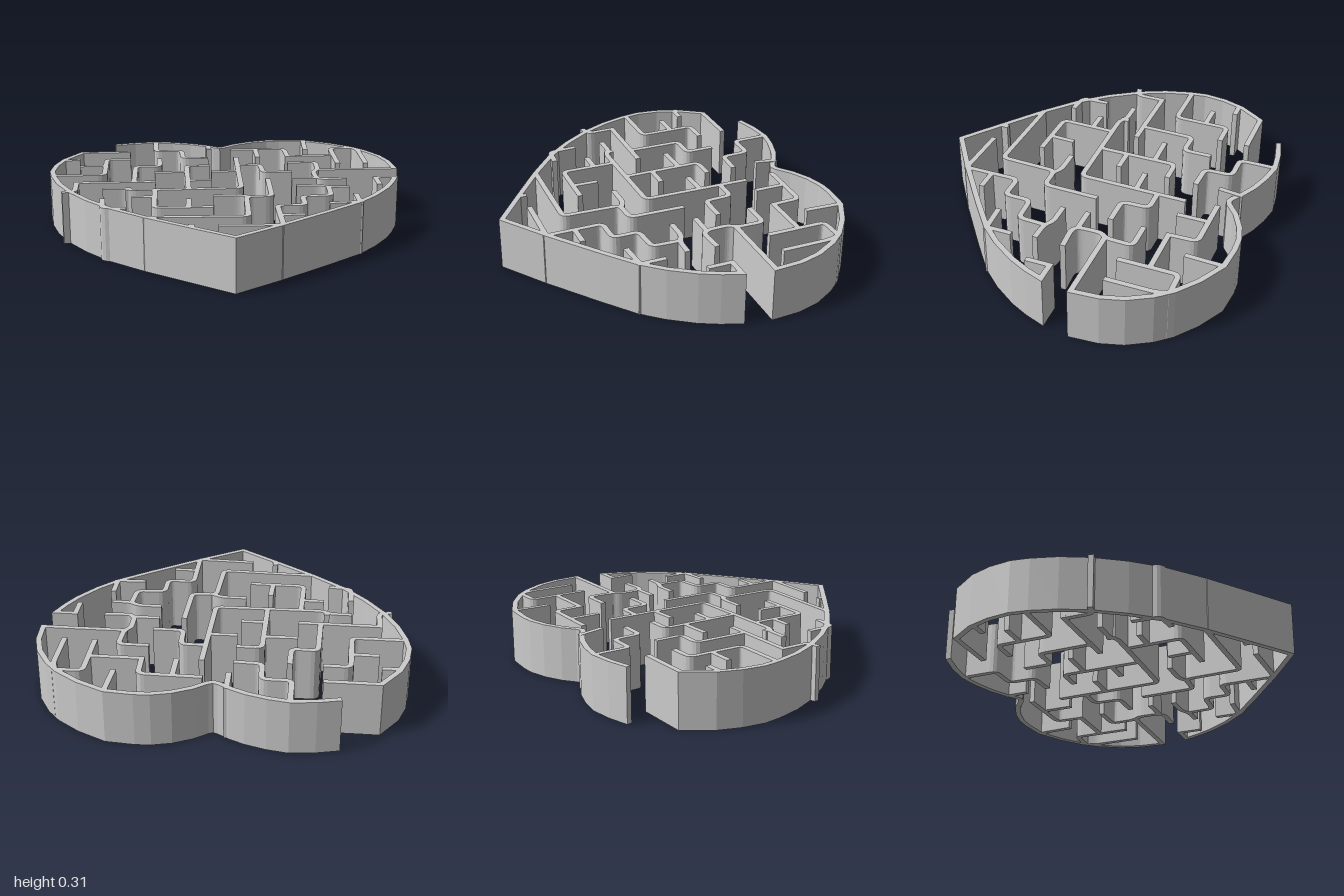
import * as THREE from 'three';

const H = 0.293, T = 0.03;
const material = new THREE.MeshStandardMaterial({ color: 0xcccccc });

// Replace inner corners of a path by small arcs
function rounded(path, r) {
  const pts = path.map(([x, z]) => new THREE.Vector2(x, z));
  if (!r) return pts;
  return pts.flatMap((p, i) => {
    if (i === 0 || i === pts.length - 1) return [p];
    const toward = (q) => p.clone().lerp(q, Math.min(r / p.distanceTo(q), 0.45));
    return new THREE.QuadraticBezierCurve(toward(pts[i - 1]), p, toward(pts[i + 1])).getPoints(4);
  });
}

// Upright wall of constant thickness along a path of [x, z] points
function wallGeometry(path, r) {
  const pts = rounded(path, r), left = [], right = [];
  pts.forEach((p, i) => {
    const a = pts[Math.max(i - 1, 0)], b = pts[Math.min(i + 1, pts.length - 1)];
    const d1 = (i > 0 ? p.clone().sub(a) : b.clone().sub(p)).normalize();
    const d2 = (i < pts.length - 1 ? b.clone().sub(p) : d1.clone()).normalize();
    const n1 = new THREE.Vector2(-d1.y, d1.x), n2 = new THREE.Vector2(-d2.y, d2.x);
    const m = n1.clone().add(n2).normalize();
    m.multiplyScalar(T / 2 / Math.max(m.dot(n1), 0.4));
    left.push(p.clone().add(m));
    right.unshift(p.clone().sub(m));
  });
  const g = new THREE.ExtrudeGeometry(new THREE.Shape([...left, ...right]), { depth: H, bevelEnabled: false });
  return g.rotateX(Math.PI / 2).translate(0, H, 0);
}

// Heart outline, open at the upper left and at the right
const outline = [
  [[-0.64, -0.835], [-0.52, -0.865], [-0.39, -0.88], [-0.28, -0.86], [-0.17, -0.825], [-0.09, -0.785],
    [-0.03, -0.745], [0, -0.733], [0.03, -0.745], [0.1, -0.8], [0.2, -0.85], [0.3, -0.876], [0.38, -0.88],
    [0.53, -0.867], [0.68, -0.79], [0.8, -0.7], [0.87, -0.62], [0.94, -0.5], [0.975, -0.38], [0.985, -0.235],
    [0.52, -0.235]],
  [[-0.545, -0.672], [-0.835, -0.672], [-0.93, -0.53], [-0.97, -0.41], [-0.985, -0.29], [-0.97, -0.19],
    [-0.93, -0.05], [-0.86, 0.1], [-0.76, 0.25], [-0.64, 0.39], [-0.45, 0.55], [-0.22, 0.72], [-0.01, 0.873],
    [0.23, 0.71], [0.5, 0.51], [0.68, 0.37], [0.78, 0.26], [0.87, 0.13], [0.92, 0.03], [0.955, -0.063],
    [0.845, -0.063], [0.845, 0.07]],
];

// Maze walls behind the middle
const backWalls = [
  [[-0.39, -0.88], [-0.39, -0.68], [-0.235, -0.68], [-0.23, -0.525], [-0.08, -0.52]],
  [[0.53, -0.86], [0.52, -0.66]],
  [[0.06, -0.69], [0.39, -0.685], [0.395, -0.535]],
  [[0.38, -0.53], [0.675, -0.53]],
  [[0.675, -0.355], [0.675, -0.683], [0.82, -0.685]],
  [[0.82, -0.68], [0.84, -0.62], [0.84, -0.35]],
  [[0.215, -0.69], [0.215, -0.515]],
  [[-0.93, -0.515], [-0.84, -0.515]],
  [[-0.54, -0.515], [-0.683, -0.515], [-0.685, -0.205], [-0.97, -0.205]],
  [[-0.83, -0.385], [-0.685, -0.385]],
  [[-0.37, -0.515], [-0.37, -0.355], [-0.51, -0.36], [-0.515, -0.06]],
];

// Maze walls around the middle
const middleWalls = [
  [[-0.85, -0.06], [-0.395, -0.057]],
  [[-0.835, -0.06], [-0.835, 0.095], [-0.905, 0.11]],
  [[-0.685, 0.065], [-0.56, 0.065], [-0.52, 0.095], [0.075, 0.087], [0.085, -0.52]],
  [[-0.545, 0.045], [-0.545, 0.095]],
  [[-0.08, -0.355], [-0.215, -0.355], [-0.215, 0.09]],
  [[-0.4, -0.23], [-0.215, -0.235]],
  [[-0.215, -0.07], [-0.08, -0.07]],
  [[-0.075, -0.23], [0.085, -0.235]],
  [[0.085, -0.358], [0.215, -0.358], [0.22, -0.205], [0.385, -0.205]],
  [[0.38, -0.39], [0.545, -0.39], [0.54, -0.24], [0.507, -0.2], [0.51, -0.08], [0.54, -0.05], [0.68, -0.06]],
  [[0.37, -0.075], [0.51, -0.075]],
];

// Maze walls towards the tip
const frontWalls = [
  [[0.38, 0.065], [0.51, 0.065], [0.56, 0.097], [0.67, 0.1]],
  [[0.555, 0.1], [0.548, 0.247], [0.39, 0.255], [0.39, 0.4], [0.24, 0.4], [0.24, 0.71]],
  [[0.24, 0.555], [0.37, 0.555]],
  [[0.235, -0.07], [0.228, 0.24], [0.09, 0.245], [0.078, 0.565], [-0.46, 0.55]],
  [[-0.085, 0.215], [0.06, 0.215], [0.11, 0.245]],
  [[-0.4, 0.095], [-0.405, 0.4], [-0.095, 0.405]],
  [[-0.525, 0.215], [-0.405, 0.215]],
  [[-0.22, 0.26], [-0.225, 0.4]],
  [[-0.68, 0.235], [-0.675, 0.39], [-0.55, 0.402]],
  [[0.685, 0.225], [0.685, 0.37]],
  [[0.52, 0.377], [0.7, 0.365]],
  [[-0.22, 0.675], [-0.22, 0.72]],
  [[-0.085, 0.7], [0.24, 0.71]],
];

export function createModel() {
  const model = new THREE.Group();
  model.name = 'heartMaze';
  const addWalls = (name, paths, r) => {
    const group = new THREE.Group();
    group.name = name;
    paths.forEach((path, i) => {
      const mesh = new THREE.Mesh(wallGeometry(path, r), material);
      mesh.name = `${name}${i + 1}`;
      group.add(mesh);
    });
    model.add(group);
  };
  addWalls('outerWall', outline, 0);
  addWalls('backWall', backWalls, 0.035);
  addWalls('middleWall', middleWalls, 0.035);
  addWalls('frontWall', frontWalls, 0.035);

  // Short wall at the cleft, its top rising towards the free end
  const g = wallGeometry([[-0.07, -0.79], [-0.07, -0.655]], 0);
  const pos = g.attributes.position;
  for (let i = 0; i < pos.count; i++) {
    if (pos.getY(i) > H / 2 && pos.getZ(i) > -0.7) pos.setY(i, H + 0.014);
  }
  g.computeVertexNormals();
  const cleft = new THREE.Mesh(g, material);
  cleft.name = 'cleftWall';
  model.add(cleft);
  return model;
}
